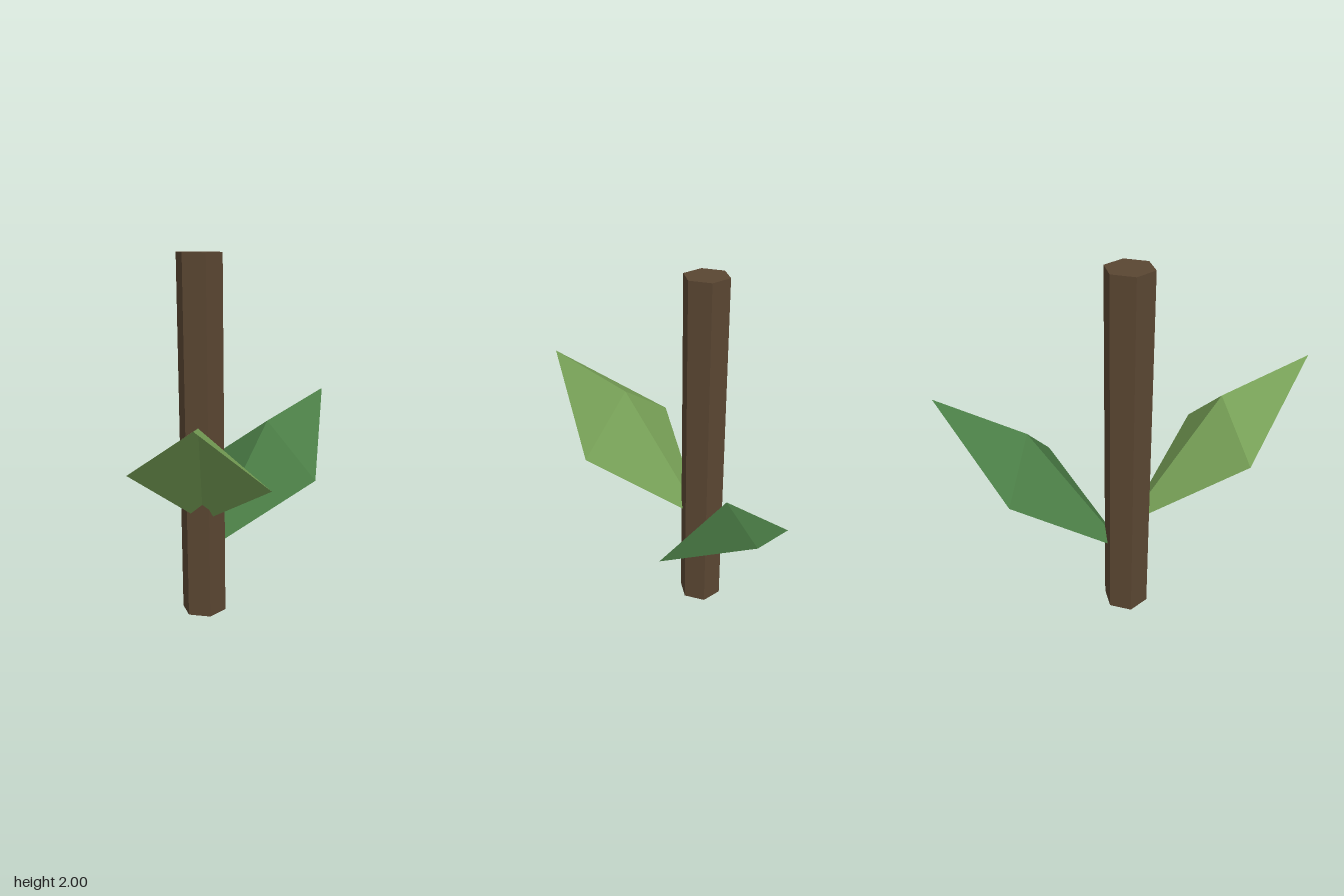
import * as THREE from 'three';

const TRUNK_X = -0.15, TRUNK_Z = -0.2;

function material(color, side = THREE.FrontSide) {
  return new THREE.MeshStandardMaterial({ color, side, flatShading: true });
}

// Folded leaf sheet growing along +x from its root; the ridge lies on z = 0
function leafGeometry(mirror) {
  const root = [0, 0, 0];
  const ridge = [0.56, 0.67, 0];
  const tip = [1.11, 0.79, 0];
  const lowEdge = [0.58, 0.36, 0.35 * mirror];
  const highEdge = [0.53, 0.43, -0.35 * mirror];
  const faces = [
    [root, lowEdge, ridge], [ridge, lowEdge, tip],
    [root, ridge, highEdge], [ridge, tip, highEdge],
  ];
  const corners = faces.flatMap(([a, b, c]) => (mirror > 0 ? [a, b, c] : [a, c, b]));
  const geometry = new THREE.BufferGeometry();
  geometry.setAttribute('position', new THREE.Float32BufferAttribute(corners.flat(), 3));
  geometry.computeVertexNormals();
  return geometry;
}

export function createModel() {
  const model = new THREE.Group();
  model.name = 'stemWithLeaves';

  // Six-sided stem with corners pointing along x
  const stem = new THREE.Mesh(new THREE.CylinderGeometry(0.125, 0.125, 2, 6), material(0x5a4632));
  stem.name = 'stem';
  stem.rotation.y = Math.PI / 6;
  stem.position.set(TRUNK_X, 1, TRUNK_Z);
  model.add(stem);

  // Two leaves rooted on the stem axis, mirror images of each other
  const leaves = [
    { name: 'lowerLeaf', color: 0x4a7c45, y: 0.34, turn: 0, mirror: 1 },
    { name: 'upperLeaf', color: 0x769f56, y: 0.53, turn: Math.atan2(-0.75, -0.81), mirror: -1 },
  ];
  for (const { name, color, y, turn, mirror } of leaves) {
    const leaf = new THREE.Mesh(leafGeometry(mirror), material(color, THREE.DoubleSide));
    leaf.name = name;
    leaf.position.set(TRUNK_X, y, TRUNK_Z);
    leaf.rotation.y = turn;
    model.add(leaf);
  }
  return model;
}
